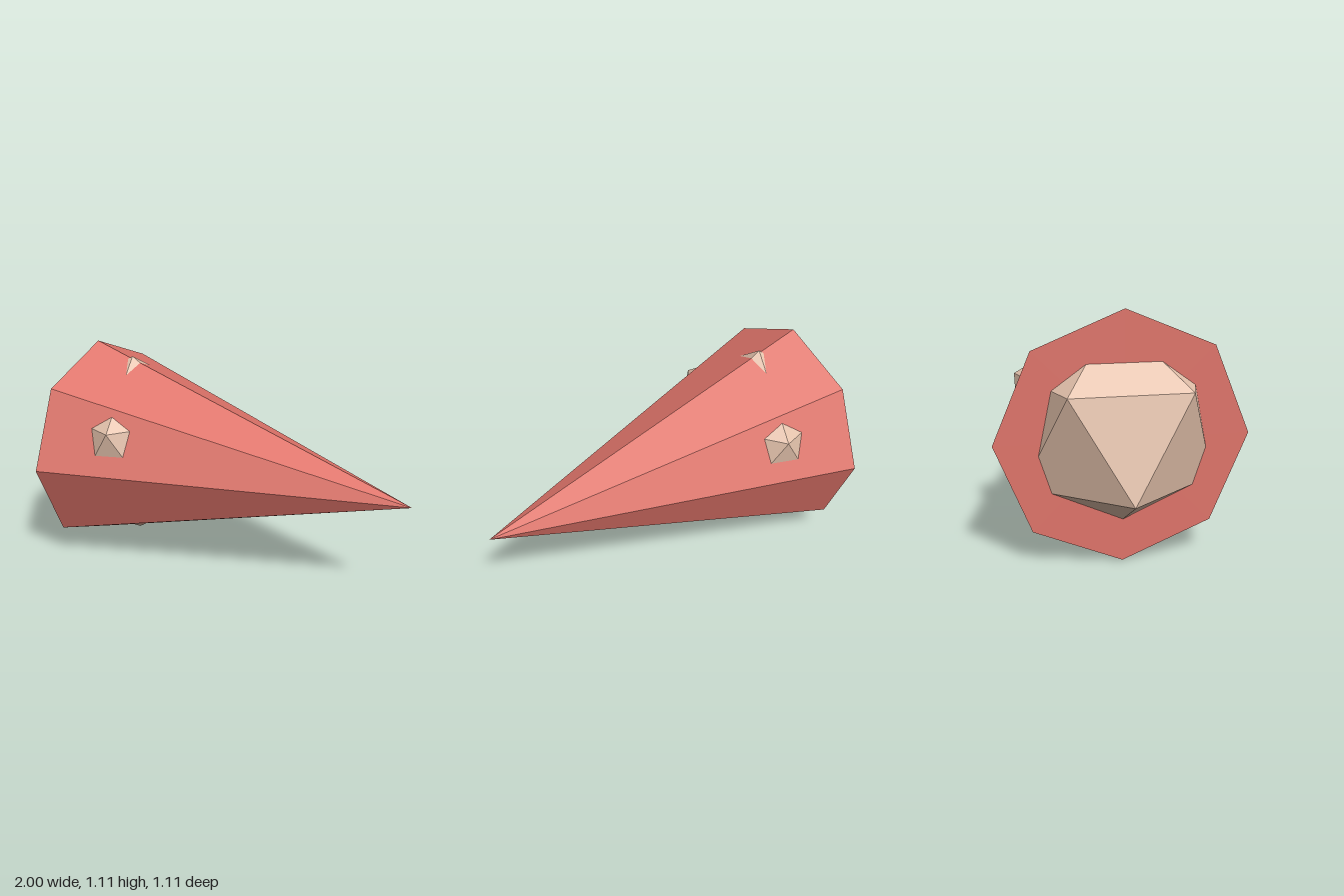
import * as THREE from 'three';

const CENTRE_Y = 0.555;

// Gives every triangle its own flat normal
function faceted(geometry) {
  const flat = geometry.index ? geometry.toNonIndexed() : geometry;
  flat.computeVertexNormals();
  return flat;
}

function addPart(group, name, geometry, material, x) {
  const mesh = new THREE.Mesh(faceted(geometry), material);
  mesh.name = name;
  mesh.position.set(x, CENTRE_Y, 0);
  group.add(mesh);
}

export function createModel() {
  const group = new THREE.Group();
  group.name = 'coneWithCore';

  const red = new THREE.MeshStandardMaterial({ color: 0xdf746a });
  red.name = 'coral red';
  const cream = new THREE.MeshStandardMaterial({ color: 0xe4c2ac });
  cream.name = 'cream';

  // Eight-sided cone, closed at the base, pointing along +x
  const coneLength = 1.776;
  const cone = new THREE.ConeGeometry(0.555, coneLength, 8, 1);
  cone.rotateZ(-Math.PI / 2);
  addPart(group, 'cone', cone, red, 1 - coneLength / 2);

  // Icosahedron with a corner straight up; its corners poke through the cone
  const core = new THREE.IcosahedronGeometry(0.5, 0);
  core.rotateZ(-Math.atan(2 / (1 + Math.sqrt(5))));
  addPart(group, 'core', core, cream, -0.553);

  return group;
}
